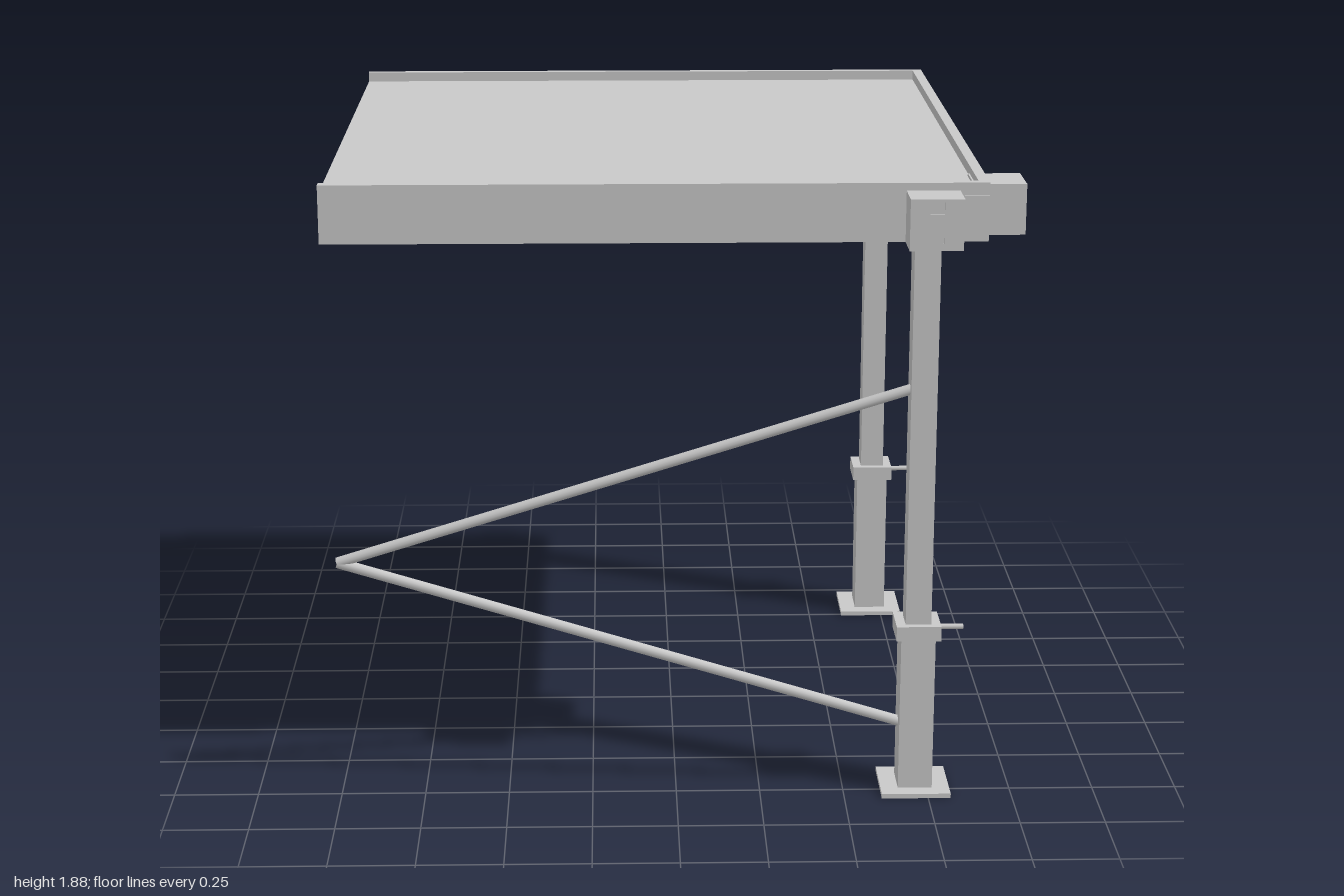
import * as THREE from 'three';

const steel = new THREE.MeshStandardMaterial({ color: 0xc8c8c8 });
steel.name = 'steelGrey';

function add(parent, name, geometry, x = 0, y = 0, z = 0) {
  const mesh = new THREE.Mesh(geometry, steel);
  mesh.name = name;
  mesh.position.set(x, y, z);
  parent.add(mesh);
  return mesh;
}

// Box given by its minimum and maximum corners
function block(parent, name, [x0, y0, z0], [x1, y1, z1]) {
  return add(parent, name, new THREE.BoxGeometry(x1 - x0, y1 - y0, z1 - z0),
    (x0 + x1) / 2, (y0 + y1) / 2, (z0 + z1) / 2);
}

// Edge beam section: flat web, inward bottom flange and a rim along the top
const flatProfile = [
  [0, 1.712], [0, 1.88], [-0.03, 1.88], [-0.03, 1.838],
  [-0.012, 1.832], [-0.012, 1.722], [-0.11, 1.722], [-0.11, 1.712],
];
// The same section with its rim set slightly back from the web
const steppedProfile = [[0, 1.712], [0, 1.838], [-0.006, 1.844], [-0.006, 1.88], ...flatProfile.slice(2)];

function edgeBeam(parent, name, profile, length, x, z, angle) {
  const shape = new THREE.Shape(profile.map(([u, v]) => new THREE.Vector2(u, v)));
  const geometry = new THREE.ExtrudeGeometry(shape, { depth: length, bevelEnabled: false });
  add(parent, name, geometry, x, 0, z).rotation.y = angle;
}

// Coupling block with two shallow square sockets in its outer face
function couplingBlock(parent, name, x, z, angle) {
  const group = new THREE.Group();
  group.name = name;
  group.position.set(x, 0, z);
  group.rotation.y = angle;
  const face = new THREE.Shape([[-0.075, 1.712], [0.075, 1.712], [0.075, 1.858], [-0.075, 1.858]]
    .map(([u, v]) => new THREE.Vector2(u, v)));
  for (const y of [1.75, 1.832]) {
    face.holes.push(new THREE.Path([[-0.02, -0.018], [-0.02, 0.018], [0.02, 0.018], [0.02, -0.018]]
      .map(([u, v]) => new THREE.Vector2(u, y + v))));
    block(group, 'socketFloor', [-0.02, y - 0.018, 0.01], [0.02, y + 0.018, 0.145]);
  }
  add(group, 'couplingBody', new THREE.ExtrudeGeometry(face, { depth: 0.15, bevelEnabled: false }));
  parent.add(group);
}

// Telescopic leg with foot plate, sleeve, collar, locking pin and head bracket
function leg(name, x, z) {
  const group = new THREE.Group();
  group.name = name;
  group.position.set(x, 0, z);
  block(group, 'footPlate', [-0.103, 0, -0.103], [0.103, 0.014, 0.103]);
  block(group, 'outerSleeve', [-0.051, 0.014, -0.056], [0.051, 0.485, 0.056]);
  block(group, 'collar', [-0.066, 0.485, -0.066], [0.066, 0.53, 0.066]);
  block(group, 'innerPost', [-0.038, 0.53, -0.043], [0.038, 1.712, 0.043]);
  const pin = add(group, 'lockingPin', new THREE.CylinderGeometry(0.008, 0.008, 0.085, 12), 0.095, 0.507, 0);
  pin.rotation.z = Math.PI / 2;
  block(group, 'headPlate', [-0.05, 1.697, -0.055], [0.066, 1.712, 0.105]);
  block(group, 'headStrip', [-0.04, 1.687, -0.018], [0.06, 1.697, 0.105]);
  block(group, 'headTab', [0.055, 1.685, -0.05], [0.066, 1.697, 0.05]);
  return group;
}

// Straight round brace between two points
function brace(parent, name, from, to) {
  const a = new THREE.Vector3(...from), b = new THREE.Vector3(...to);
  const mesh = add(parent, name, new THREE.CylinderGeometry(0.016, 0.016, a.distanceTo(b), 12));
  mesh.position.copy(a).add(b).multiplyScalar(0.5);
  mesh.quaternion.setFromUnitVectors(new THREE.Vector3(0, 1, 0), b.sub(a).normalize());
}

export function createModel() {
  const model = new THREE.Group();
  model.name = 'platform';

  // Deck and edge frame, open on the -x side
  block(model, 'deckPanel', [-1, 1.838, -0.975], [0.85, 1.85, 0.85]);
  edgeBeam(model, 'frontBeam', flatProfile, 1.87, 0.87, 0.87, -Math.PI / 2);
  edgeBeam(model, 'backBeam', steppedProfile, 1.87, -1, -0.996, Math.PI / 2);
  edgeBeam(model, 'sideBeam', flatProfile, 1.86, 0.87, -0.99, 0);

  // Joists under the deck
  block(model, 'endJoist', [-0.992, 1.785, -0.96], [-0.95, 1.838, 0.83]);
  block(model, 'middleJoist', [-0.1, 1.75, -0.96], [-0.05, 1.838, 0.83]);

  // Corner blocks joining the beams
  block(model, 'frontCornerBlock', [0.755, 1.714, 0.755], [0.869, 1.843, 0.874]);
  block(model, 'backCornerBlock', [0.755, 1.714, -1], [0.869, 1.843, -0.885]);

  // Coupling blocks on the front corner
  couplingBlock(model, 'frontCoupling', 0.712, 0.835, 0);
  couplingBlock(model, 'sideCoupling', 0.835, 0.712, Math.PI / 2);

  // Legs
  model.add(leg('frontLeg', 0.714, 0.716), leg('backLeg', 0.714, -0.842));

  // V-shaped bracing meeting at the open side
  brace(model, 'upperBrace', [-0.995, 0.72, 0.716], [0.69, 1.243, 0.716]);
  brace(model, 'lowerBrace', [-0.995, 0.72, 0.716], [0.69, 0.2, 0.716]);

  return model;
}
